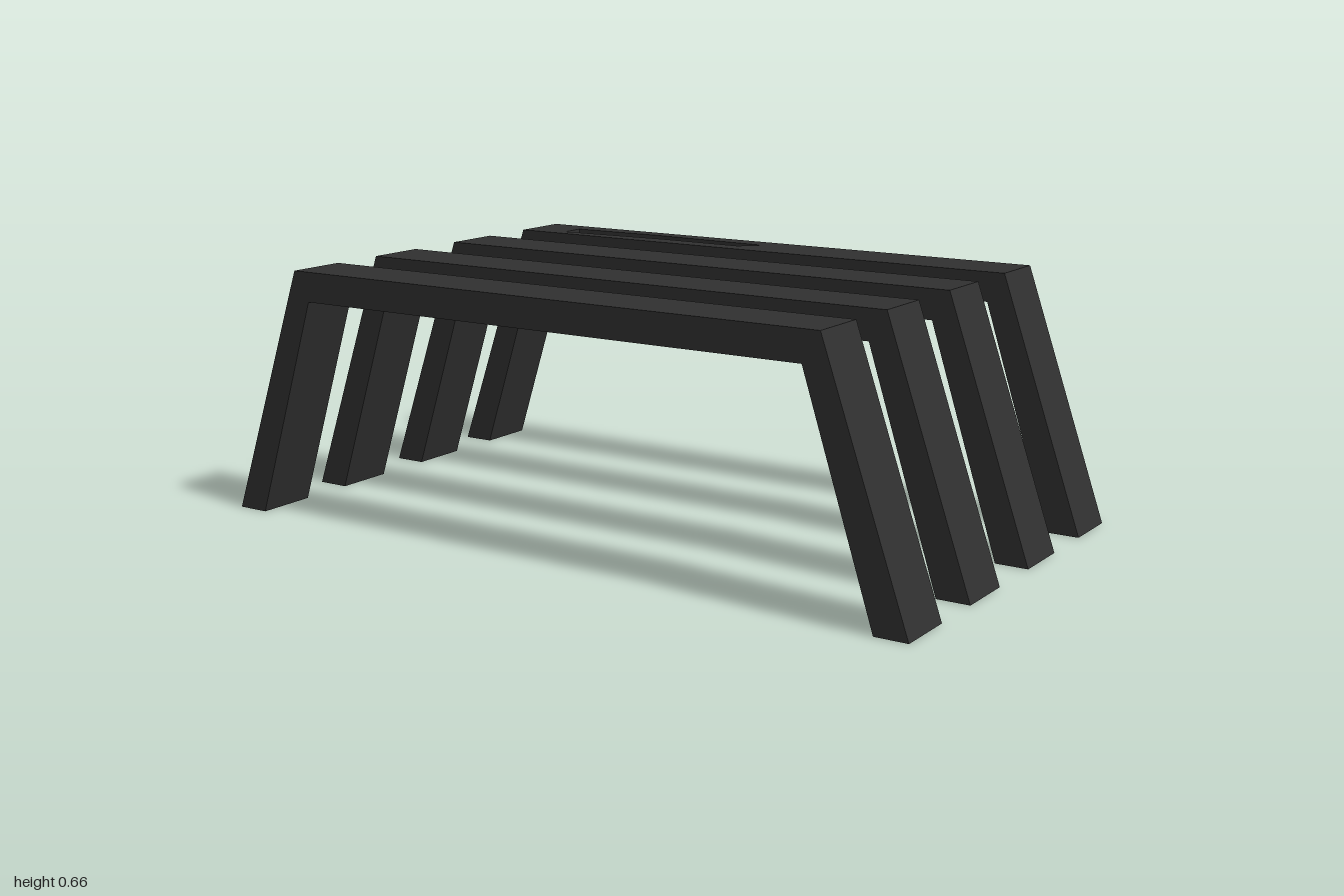
import * as THREE from 'three';

const HEIGHT = 0.663, WIDTH = 0.163, RECESS = 0.02;
// half-width of the outer outline at a given height
const outerX = (y) => 1 - (0.23 * y) / HEIGHT;

// Trapezoid arch, extruded along z and centred on its own z
function archGeometry(top) {
  const x = outerX(top);
  const shape = new THREE.Shape([
    [-1, 0], [-0.913, 0], [-0.725, 0.585], [0.725, 0.585],
    [0.913, 0], [1, 0], [x, top], [-x, top],
  ].map(([px, py]) => new THREE.Vector2(px, py)));
  return new THREE.ExtrudeGeometry(shape, { depth: WIDTH, bevelEnabled: false })
    .translate(0, 0, -WIDTH / 2);
}

// Top layer of the rear arch, with an irregular shallow recess cut in it
function recessedTopGeometry(z) {
  const low = outerX(HEIGHT - RECESS), h = WIDTH / 2;
  const shape = new THREE.Shape([[-low, -h], [low, -h], [low, h], [-low, h]]
    .map(([x, y]) => new THREE.Vector2(x, y)));
  shape.holes.push(new THREE.Path([
    [-0.64, -0.435], [-0.64, -0.505], [-0.36, -0.515],
    [-0.01, -0.505], [-0.06, -0.455], [-0.32, -0.457],
  ].map(([x, pz]) => new THREE.Vector2(x, z - pz))));
  const geo = new THREE.ExtrudeGeometry(shape, { depth: RECESS, bevelEnabled: false });
  geo.rotateX(-Math.PI / 2);
  // lean the ends in to follow the slope of the legs
  const p = geo.attributes.position;
  for (let i = 0; i < p.count; i++) {
    if (Math.abs(p.getX(i)) > 0.7 && p.getY(i) > RECESS / 2) {
      p.setX(i, Math.sign(p.getX(i)) * outerX(HEIGHT));
    }
  }
  geo.computeVertexNormals();
  return geo.translate(0, HEIGHT - RECESS, 0);
}

export function createModel() {
  const model = new THREE.Group();
  const charcoal = new THREE.MeshStandardMaterial({ color: 0x303030 });
  charcoal.name = 'charcoal';

  // Four parallel arches, front to back
  const zs = [0.482, 0.17, -0.16, -0.482];
  zs.forEach((z, i) => {
    const rear = i === zs.length - 1;
    const arch = new THREE.Group();
    arch.name = `arch${i + 1}`;
    arch.position.z = z;
    const frame = new THREE.Mesh(archGeometry(rear ? HEIGHT - RECESS : HEIGHT), charcoal);
    frame.name = 'archFrame';
    arch.add(frame);
    if (rear) {
      const top = new THREE.Mesh(recessedTopGeometry(z), charcoal);
      top.name = 'recessedTop';
      arch.add(top);
    }
    model.add(arch);
  });
  return model;
}
